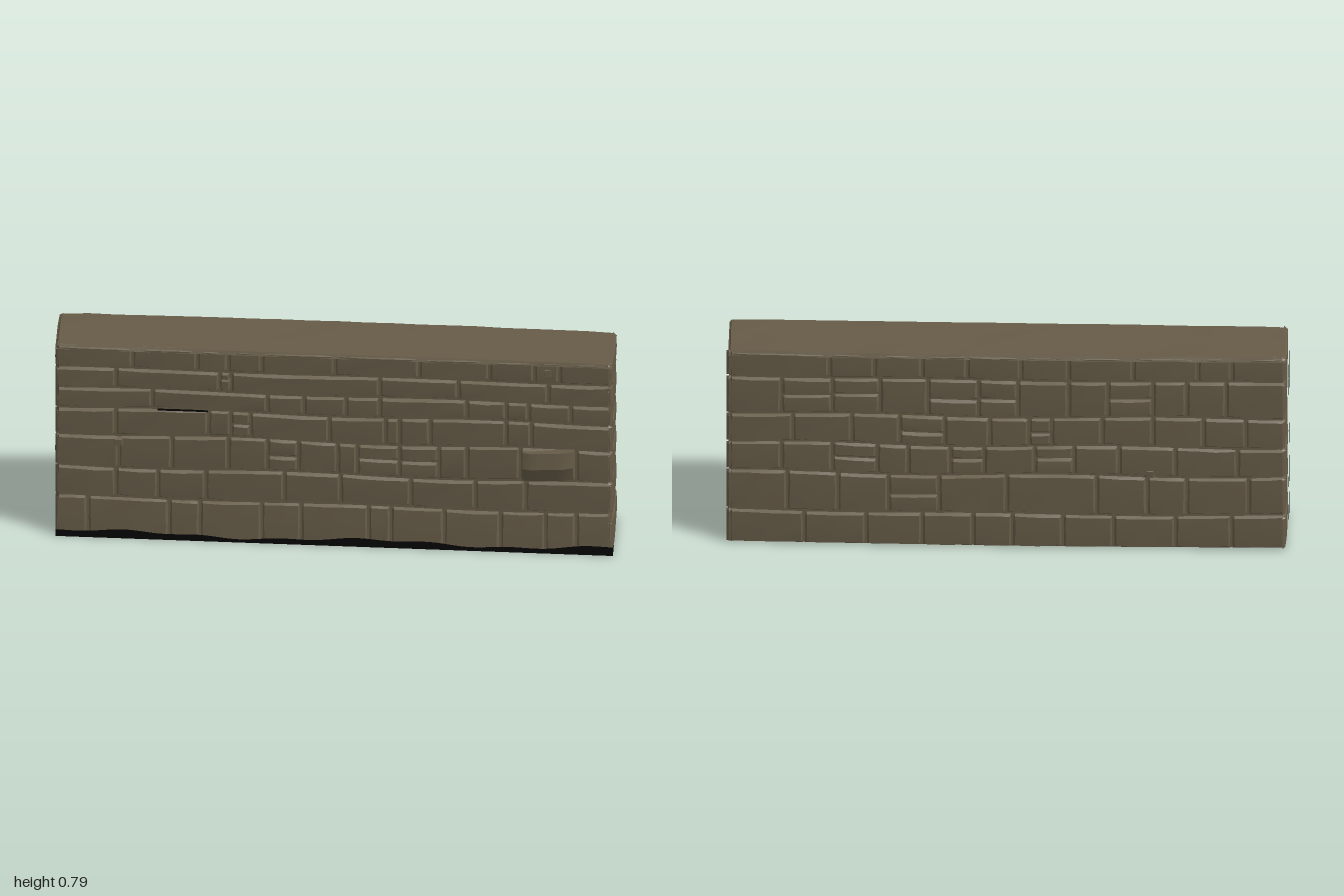
import * as THREE from 'three';
import { mergeGeometries, toCreasedNormals } from 'three/addons/utils/BufferGeometryUtils.js';

const TOP = 0.787, DEPTH = 0.014, GAP = 0.003;

// small seeded random, centred on zero
let seed = 7;
const rnd = () => {
  seed = (seed * 16807) % 2147483647;
  return seed / 2147483647 - 0.5;
};

// wall profile: the foot flares out and the back bulges slightly
const frontZ = (x, y) => 0.111 + 0.012 * Math.max(0, 1 - y / 0.16);
const backZ = (x, y) => -0.116 - 0.014 * (1 - y / TOP) - 0.01 * Math.max(0, 1 - x * x);
const wave = (x, y) => y + 0.006 * Math.sin(6 * x + 9 * y) * Math.sin((Math.PI * y) / TOP);
const endZ = (z, y) => (z > 0 ? (z / 0.111) * frontZ(1, y) : (z / -0.116) * backZ(1, y));

// each side maps (across, up, out) onto the wall
const sides = {
  front: (u, v, d) => [u, wave(u, v), frontZ(u, v) + d],
  back: (u, v, d) => [-u, wave(-u, v), backZ(-u, v) - d],
  leftEnd: (u, v, d) => [0.99 + d, v, endZ(-u, v)],
  rightEnd: (u, v, d) => [-0.995 - d, v, endZ(u, v)],
  top: (u, v, d) => [u, TOP + d, v < 0 ? frontZ(u, TOP) * (v / -0.111) : backZ(u, TOP) * (v / 0.116)],
};

function mapVertices(geo, fn) {
  const p = geo.attributes.position;
  for (let i = 0; i < p.count; i++) p.setXYZ(i, ...fn(p.getX(i), p.getY(i), p.getZ(i)));
  geo.computeVertexNormals();
  return geo;
}

// one bevelled stone face filling a rectangle on a side
function stone(side, u0, u1, v0, v1, out = 0, bevel = 0.008) {
  const w = u1 - u0, h = v1 - v0;
  const nx = 3 + Math.floor(w / 0.1), ny = 3 + Math.floor(h / 0.06);
  const step = (i, n, len) =>
    i === 0 ? 0 : i === n ? len : bevel + ((len - 2 * bevel) * (i - 1)) / (n - 2);
  const geo = new THREE.PlaneGeometry(1, 1, nx, ny);
  const tiltX = rnd() * 0.004, tiltY = rnd() * 0.004, lift = rnd() * 0.003;
  const mapped = mapVertices(geo, (px, py) => {
    const i = Math.round((px + 0.5) * nx), j = Math.round((py + 0.5) * ny);
    const rim = i === 0 || j === 0 || i === nx || j === ny;
    const corner = (i === 1 || i === nx - 1) && (j === 1 || j === ny - 1);
    const d = rim ? -DEPTH : out + lift + px * tiltX + py * tiltY + rnd() * 0.002 - (corner ? 0.003 : 0);
    const wob = rim ? 0 : 0.003;
    return side(u0 + step(i, nx, w) + rnd() * wob, v0 + step(j, ny, h) + rnd() * wob, d);
  });
  return toCreasedNormals(mapped, 0.45);
}

// one course of stones; listed stones are split into two thin ones
function course(side, v0, v1, joints, split = [], start = -0.995, end = 0.99) {
  const edges = [start, ...joints, end], parts = [];
  for (let i = 0; i < edges.length - 1; i++) {
    const a = edges[i] + (i ? GAP : 0), b = edges[i + 1] - (i < edges.length - 2 ? GAP : 0);
    const lo = v0 + (v0 > 0 ? GAP : 0), hi = v1 - (v1 < TOP ? GAP : 0);
    if (split.includes(i)) {
      const m = lo + (hi - lo) * (0.5 + rnd() * 0.15);
      parts.push(stone(side, a, b, lo, m - GAP / 2), stone(side, a, b, m + GAP / 2, hi));
    } else parts.push(stone(side, a, b, lo, hi));
  }
  return mergeGeometries(parts);
}

export function createModel() {
  const wall = new THREE.Group();
  wall.name = 'stoneWall';
  const stoneMat = new THREE.MeshStandardMaterial({ color: 0x665b47 });
  stoneMat.name = 'brown stone';
  const blackMat = new THREE.MeshStandardMaterial({ color: 0x050505 });
  blackMat.name = 'black';
  const add = (geo, name, mat = stoneMat) => {
    const mesh = new THREE.Mesh(geo, mat);
    mesh.name = name;
    wall.add(mesh);
  };

  // mortar core behind the stones
  const core = mapVertices(new THREE.BoxGeometry(1.962, 0.774, 0.2, 24, 12, 1), (x, y, z) => {
    const yy = y + 0.389;
    return [x - 0.002, yy, z > 0 ? frontZ(x, yy) - 0.012 : backZ(x, yy) + 0.012];
  });
  add(toCreasedNormals(core, 0.5), 'mortarCore');

  // front courses from bottom to top: [top height, joints, split stones]
  const frontRows = [
    [0.16, [-0.88, -0.59, -0.48, -0.26, -0.12, 0.12, 0.2, 0.39, 0.59, 0.75, 0.86]],
    [0.285, [-0.78, -0.63, -0.46, -0.18, 0.02, 0.27, 0.5, 0.68]],
    [0.42, [-0.77, -0.58, -0.38, -0.24, -0.13, 0.01, 0.08, 0.23, 0.37, 0.47, 0.66, 0.86], [4, 7, 8]],
    [0.53, [-0.78, -0.45, -0.37, -0.3, -0.02, 0.18, 0.23, 0.34, 0.61, 0.7], [3]],
    [0.612, [-0.65, -0.24, -0.11, 0.04, 0.16, 0.47, 0.61, 0.69, 0.84]],
    [0.697, [-0.78, -0.41, -0.37, 0.16, 0.44, 0.76], [2]],
    [TOP, [-0.72, -0.49, -0.38, -0.26, 0, 0.3, 0.55, 0.71, 0.8]],
  ];
  // back courses
  const backRows = [
    [0.135, [-0.72, -0.5, -0.3, -0.12, 0.02, 0.2, 0.38, 0.6, 0.8]],
    [0.295, [-0.78, -0.6, -0.42, -0.24, 0.0, 0.32, 0.5, 0.64, 0.86], [3]],
    [0.415, [-0.8, -0.62, -0.46, -0.35, -0.2, -0.08, 0.1, 0.24, 0.4, 0.6, 0.82], [2, 5, 7]],
    [0.535, [-0.76, -0.55, -0.38, -0.22, -0.06, 0.08, 0.16, 0.34, 0.52, 0.7, 0.85], [3, 6]],
    [0.685, [-0.8, -0.62, -0.45, -0.28, -0.1, 0.04, 0.22, 0.36, 0.52, 0.64, 0.78], [1, 2, 4, 5, 8]],
    [TOP, [-0.63, -0.47, -0.3, -0.14, 0.05, 0.22, 0.45, 0.68, 0.8]],
  ];
  for (const [side, rows] of [['front', frontRows], ['back', backRows]]) {
    let low = 0;
    rows.forEach(([high, joints, split], i) => {
      add(course(sides[side], low, high, joints, split), `${side}Course${i + 1}`);
      low = high;
    });
  }

  // single blocks on both ends, and the flat top
  let low = 0;
  backRows.forEach(([high], i) => {
    add(course(sides.leftEnd, low, high, [], [], -0.111, 0.116), `leftEndBlock${i + 1}`);
    add(course(sides.rightEnd, low, high, [], [], -0.116, 0.111), `rightEndBlock${i + 1}`);
    low = high;
  });
  add(stone(sides.top, -0.995, 0.99, -0.111, 0.116), 'topSurface');

  // stone sticking out of the front, with a ridge above its undercut
  const bump = mapVertices(new THREE.BoxGeometry(0.19, 0.12, 0.04, 6, 4, 1), (x, y, z) => {
    const ridge = 0.14 - Math.abs(y + 0.0) * (y > 0 ? 0.2 : 0.36) - (Math.abs(x) > 0.09 ? 0.01 : 0);
    return [0.76 + x * (z > 0 ? 0.95 : 1), 0.358 + y + x * 0.06, z > 0 ? ridge : 0.09];
  });
  add(toCreasedNormals(bump, 0.4), 'protrudingStone');

  // small chips wedged into the faces
  for (const [side, u, v] of [['front', -0.77, 0.395], ['front', -0.39, 0.65], ['front', 0.76, 0.745], ['back', 0.51, 0.31]])
    add(stone(sides[side], u - 0.02, u + 0.02, v - 0.02, v + 0.02, 0.005), 'smallChip');

  // black underside and the ragged dark edge along the front foot
  const under = new THREE.PlaneGeometry(1.985, 1, 24, 1).rotateX(Math.PI / 2);
  add(mapVertices(under, (x, y, z) => [x, 0, z > 0 ? frontZ(x, 0) - 0.002 : backZ(x, 0) + 0.002]), 'underside', blackMat);
  const edge = mapVertices(new THREE.PlaneGeometry(1.985, 1, 70, 1), (x, y) => {
    const h = 0.024 + 0.007 * Math.sin(7 * x + 0.6) + 0.004 * Math.sin(23 * x) + 0.015 * Math.max(0, x - 0.6);
    return sides.front(x, y > 0 ? h : 0, 0.004);
  });
  add(edge, 'darkFoot', blackMat);

  // ragged dark patches on the ends: [side, across, up, half width, half height]
  const patches = [
    ['rightEnd', 0.055, 0.655, 0.04, 0.12], ['rightEnd', 0.06, 0.59, 0.05, 0.055],
    ['rightEnd', 0.065, 0.35, 0.04, 0.05], ['rightEnd', 0.06, 0.2, 0.045, 0.07],
    ['rightEnd', 0.055, 0.06, 0.05, 0.055], ['leftEnd', -0.1, 0.03, 0.012, 0.028],
  ];
  for (const [side, u, v, w, h] of patches) {
    const disc = mapVertices(new THREE.CircleGeometry(1, 14), (x, y) => {
      const k = 1 + rnd() * 0.35;
      return sides[side](u + x * w * k, Math.max(0.002, v + y * h * k), 0.005);
    });
    add(disc, 'darkPatch', blackMat);
  }
  // dark open joint on the front
  add(mapVertices(new THREE.PlaneGeometry(0.18, 0.008, 6, 1), (x, y) => sides.front(x - 0.54, y + 0.532, 0.003)), 'openJoint', blackMat);

  return wall;
}
